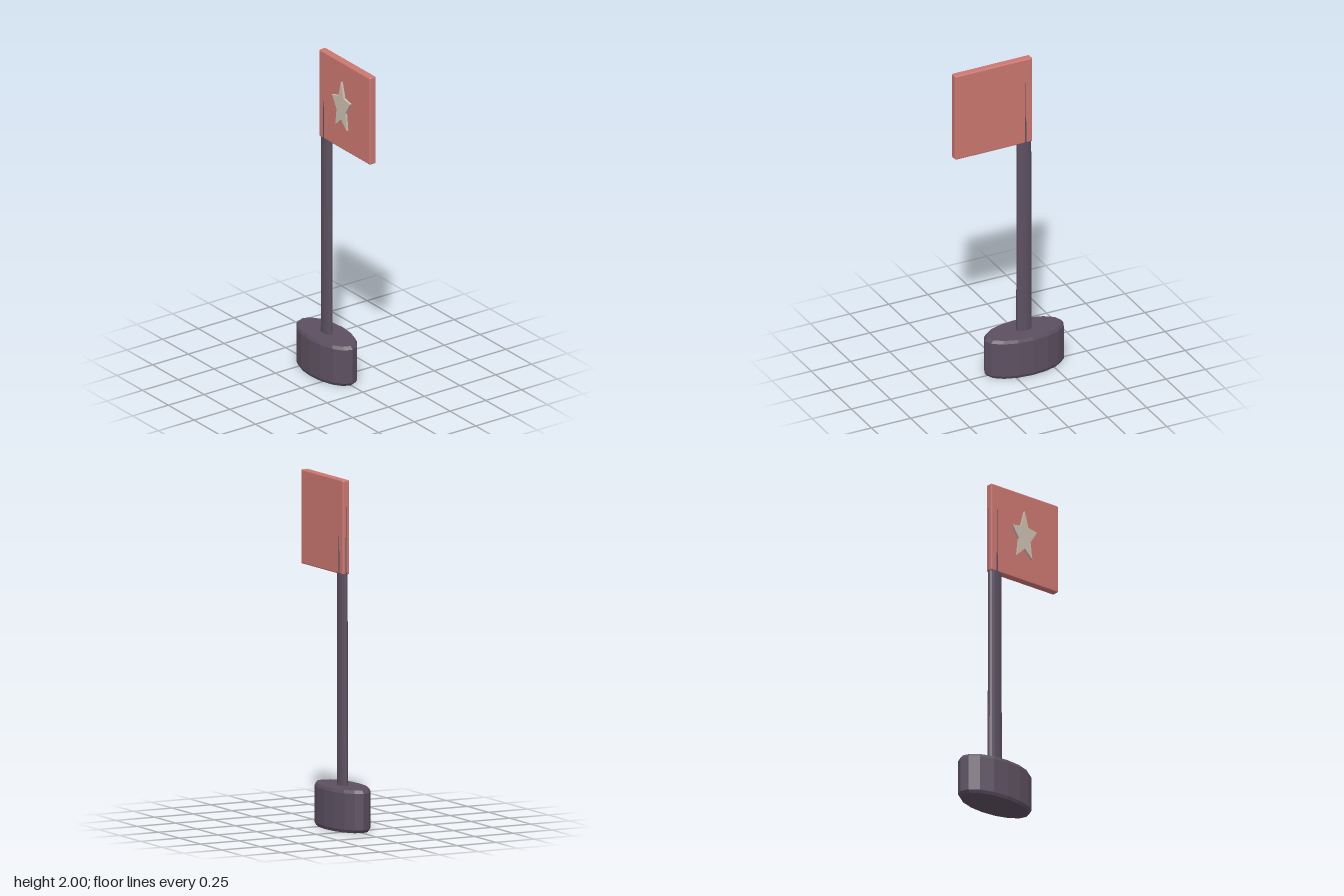
import * as THREE from 'three';
import { RoundedBoxGeometry } from 'three/addons/geometries/RoundedBoxGeometry.js';

const paint = (name, color) => Object.assign(new THREE.MeshStandardMaterial({ color, flatShading: true }), { name });

// Sixteen-sided turned part, squashed to an ellipse of half widths rx and rz
function oval(profile, rx, rz) {
  const points = profile.map(([r, y]) => new THREE.Vector2(r, y));
  return new THREE.LatheGeometry(points, 16).scale(rx, 1, rz);
}

function starShape(rx, ry, inner) {
  const points = [];
  for (let i = 0; i < 10; i++) {
    const k = i % 2 ? inner : 1;
    const a = Math.PI / 2 + (i * Math.PI) / 5;
    points.push(new THREE.Vector2(Math.cos(a) * rx * k, Math.sin(a) * ry * k));
  }
  return new THREE.Shape(points);
}

export function createModel() {
  const group = new THREE.Group();
  group.name = 'flagOnStand';
  const slate = paint('slate', 0x5c5061);
  const coral = paint('coral', 0xcb7770);
  const cream = paint('cream', 0xc9bfae);

  const add = (name, geometry, material, x, y, z) => {
    const mesh = new THREE.Mesh(geometry, material);
    mesh.name = name;
    mesh.position.set(x, y, z);
    group.add(mesh);
  };

  // Oval foot with bevelled rims
  const foot = [[0, 0], [0.94, 0], [1, 0.018], [1, 0.227], [0.94, 0.245], [0, 0.245]];
  add('base', oval(foot, 0.25, 0.12), slate, -0.1, 0, 0);

  // Slightly tapering pole whose ridges break through the flag
  const shaft = [[0, 0.2], [1, 0.2], [0.92, 1.85], [0, 1.85]];
  add('pole', oval(shaft, 0.0485, 0.0245), slate, -0.1, 0, 0);

  // Flag panel with soft edges
  add('flag', new RoundedBoxGeometry(0.493, 0.542, 0.045, 2, 0.008), coral, 0.1025, 1.729, 0);

  // Raised star on the front
  const star = new THREE.ExtrudeGeometry(starShape(0.093, 0.158, 0.48), { depth: 0.013, bevelEnabled: false });
  add('star', star, cream, 0.09, 1.728, 0.025);

  return group;
}
